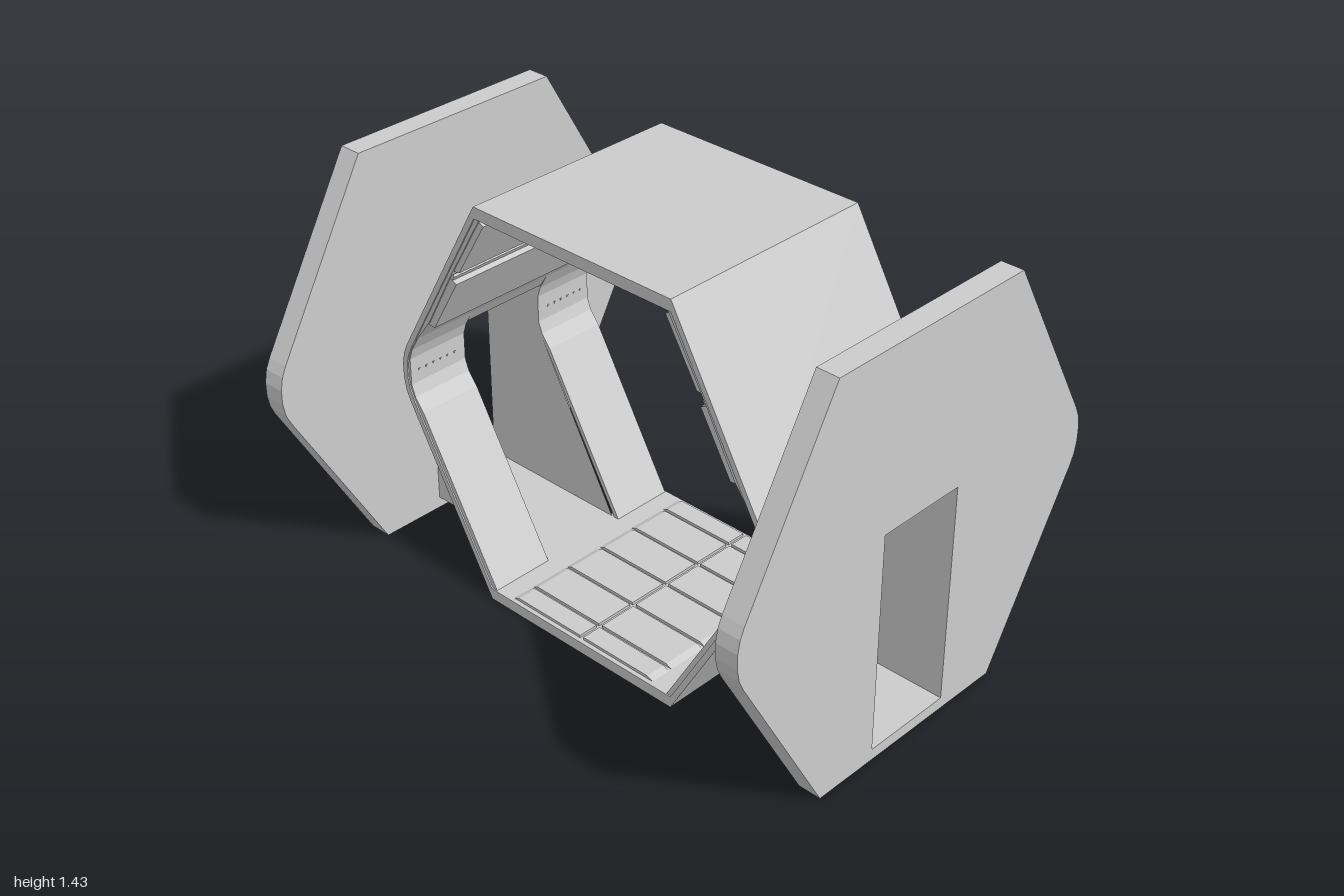
import * as THREE from 'three';

const H = 1.43, DOOR = 0.165, SILL = 0.04, LINTEL = 0.815;
const material = new THREE.MeshStandardMaterial({ color: 0xcccccc, flatShading: true });
const thin = new THREE.MeshStandardMaterial({ color: 0xcccccc, flatShading: true, side: THREE.DoubleSide });

// Right half of the six-sided outline, from bottom to top
const outer = [[0.4, 0], [0.75, 0.61], [0.766, 0.645], [0.775, 0.69], [0.775, 0.74], [0.766, 0.785], [0.75, 0.82], [0.4, H]];
const inner = [[0.39, 0.02], [0.73, 0.615], [0.748, 0.655], [0.755, 0.69], [0.755, 0.74], [0.748, 0.775], [0.73, 0.815], [0.39, H - 0.02]];

const toShape = pts => new THREE.Shape(pts.map(p => new THREE.Vector2(p[0], p[1])));
const flip = (pts, s) => pts.map(([x, y]) => [x * s, y]);
const bothSides = pts => [...pts, ...flip(pts, -1).reverse()];

function add(parent, name, geometry, mat = material) {
  const mesh = new THREE.Mesh(geometry, mat);
  mesh.name = name;
  parent.add(mesh);
  return mesh;
}

// Extrude an outline in x and y between two depths
function slab(parent, name, pts, z0, z1) {
  const geo = new THREE.ExtrudeGeometry(toShape(pts), { depth: z1 - z0, bevelEnabled: false });
  return add(parent, name, geo.translate(0, 0, z0));
}

function box(parent, name, w, h, d, x, y, z) {
  return add(parent, name, new THREE.BoxGeometry(w, h, d).translate(x, y, z));
}

// Grid of raised tiles with narrow grooves, for floor and ceiling
function tiles(parent, name, y0, y1) {
  const edges = [-0.39, -0.306, -0.153, 0, 0.153, 0.306, 0.39];
  for (const s of [-1, 1]) {
    for (let i = 0; i < edges.length - 1; i++) {
      const pts = flip([[0.007, y0], [0.31, y0], [0.288, y1], [0.007, y1]], s);
      slab(parent, name, pts, edges[i] + 0.006, edges[i + 1] - 0.006);
    }
  }
}

function buildHull() {
  const hull = new THREE.Group();
  hull.name = 'hexagonalHull';

  // Floor and ceiling slabs
  slab(hull, 'floor', bothSides([[0.4, 0], [0.423, SILL], [0.385, SILL]]), -0.4, 0.4);
  slab(hull, 'ceiling', bothSides([[0.4, H], [0.423, 1.39], [0.385, 1.39]]), -0.4, 0.4);
  tiles(hull, 'floorTile', SILL, 0.05);
  tiles(hull, 'ceilingTile', 1.39, 1.378);

  for (const s of [-1, 1]) {
    // Upper skin, running the full depth
    slab(hull, 'upperWall', flip([[0.75, 0.82], [0.4, H], [0.382, H - 0.01], [0.73, 0.815]], s), -0.4, 0.4);

    // Upper lining in three plates with steps between them
    const backing = [[0.735, 0.82], [0.388, 1.41], [0.382, 1.39], [0.53, 1.14], [0.64, 0.94], [0.7, 0.86]];
    slab(hull, 'upperLining', flip(backing, s), -0.395, 0.395);
    const plates = [
      [[0.388, 1.38], [0.37, 1.37], [0.49, 1.17], [0.518, 1.168]],
      [[0.535, 1.138], [0.505, 1.125], [0.62, 0.928], [0.648, 0.93]],
      [[0.518, 1.155], [0.513, 1.148], [0.522, 1.133], [0.535, 1.14]],
    ];
    for (const p of plates) slab(hull, 'upperPlate', flip(p, s), -0.39, 0.39);

    // Curved band above the doorway
    slab(hull, 'upperBand', flip([[0.735, LINTEL], [0.71, 0.885], [0.655, 0.92], [0.7, 0.86], [0.73, LINTEL]], s), -0.39, 0.39);

    // Lower skin and lining on both sides of the doorway
    for (const [z0, z1] of [[-1, 1], [1, -1]].map(([a]) => a > 0 ? [0.18, 0.4] : [-0.4, -0.18])) {
      slab(hull, 'lowerWall', flip([[0.423, SILL], ...outer.slice(1, 7), ...inner.slice(1, 7).reverse(), [0.4, SILL]], s), z0, z1);
      const a = z0 > 0 ? DOOR : -0.395, b = z0 > 0 ? 0.395 : -DOOR;
      const lining = [[0.4, SILL], ...inner.slice(1, 7), [0.7, 0.86], [0.732, 0.805], [0.745, 0.765],
        [0.745, 0.67], [0.73, 0.63], [0.695, 0.585], [0.38, SILL]];
      slab(hull, 'lowerLining', flip(lining, s), a, b);
      // Row of small studs on the rounded band
      for (let i = 0; i < 6; i++) {
        box(hull, 'stud', 0.006, 0.006, 0.006, s * 0.745, 0.715, (z0 > 0 ? 1 : -1) * (0.21 + i * 0.03));
      }
    }
  }
  return hull;
}

// Thin-walled passage from the hull to an end plate
function buildPassage(s) {
  const passage = new THREE.Group();
  passage.name = s > 0 ? 'leftPassage' : 'rightPassage';
  const side = flip([[0.41, SILL], ...inner.slice(1, 7), [0.92, LINTEL], [0.92, SILL]], s);
  for (const z of [-DOOR, DOOR]) {
    add(passage, 'passageWall', new THREE.ShapeGeometry(toShape(side)).translate(0, 0, z), thin);
  }
  for (const [name, x0, y] of [['passageFloor', 0.4, SILL], ['passageRoof', 0.735, LINTEL]]) {
    const geo = new THREE.PlaneGeometry(0.92 - x0, 2 * DOOR).rotateX(-Math.PI / 2);
    add(passage, name, geo.translate(s * (0.92 + x0) / 2, y, 0), thin);
  }
  return passage;
}

// Six-sided end plate with a doorway
function endPlate(s) {
  const shape = toShape(bothSides(outer));
  shape.holes.push(new THREE.Path([[-DOOR, SILL], [-DOOR, LINTEL], [DOOR, LINTEL], [DOOR, SILL]]
    .map(p => new THREE.Vector2(...p))));
  const geo = new THREE.ExtrudeGeometry(shape, { depth: 0.08, bevelEnabled: false });
  geo.rotateY(Math.PI / 2).translate(s > 0 ? 0.92 : -1, 0, 0);
  const mesh = new THREE.Mesh(geo, material);
  mesh.name = s > 0 ? 'leftEndPlate' : 'rightEndPlate';
  return mesh;
}

export function createModel() {
  const model = new THREE.Group();
  model.name = 'hexagonalModule';
  model.add(buildHull());
  for (const s of [-1, 1]) model.add(buildPassage(s), endPlate(s));
  return model;
}
